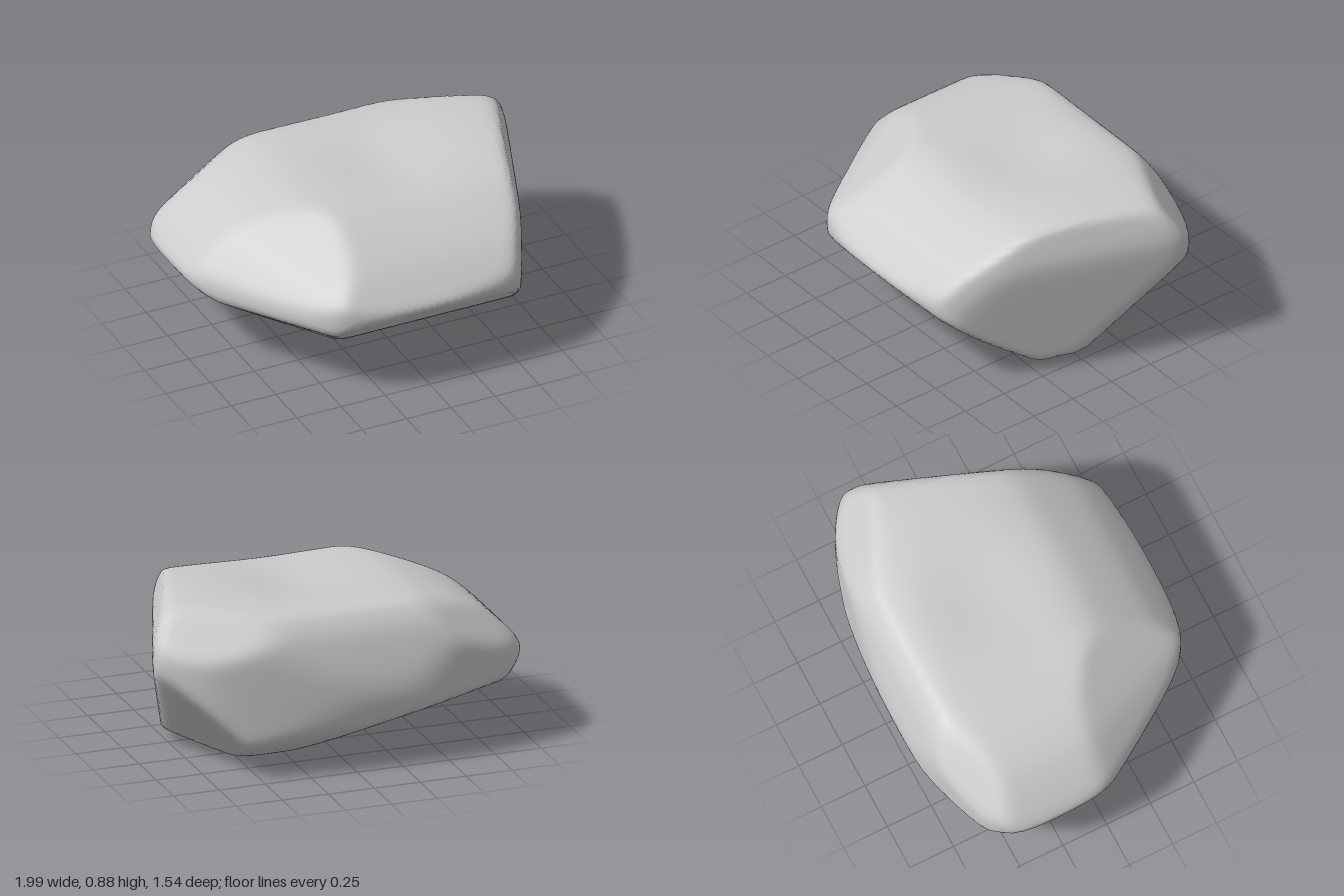
import * as THREE from 'three';
import { mergeVertices } from 'three/addons/utils/BufferGeometryUtils.js';

const CENTRE_Y = 0.45;
const SHARPNESS = 60;

// Outlines about the stone's centre; every edge becomes one face of the stone
const FRONT = [ // x, y
  [-1, 0], [-0.9, 0.13], [-0.75, 0.26], [-0.6, 0.33], [-0.4, 0.385], [-0.1, 0.41], [0.55, 0.43],
  [0.7, 0.432], [0.86, 0.41], [0.95, 0.35], [1, 0.2], [0.98, -0.05], [0.94, -0.22], [0.88, -0.32],
  [0.8, -0.38], [0.3, -0.438], [0, -0.455], [-0.2, -0.445], [-0.5, -0.3], [-0.75, -0.18],
];
const SIDE = [ // z, y
  [0.77, 0.01], [0.6, 0.19], [0.4, 0.32], [0.3, 0.37], [0.15, 0.405], [-0.05, 0.425], [-0.25, 0.43],
  [-0.45, 0.415], [-0.6, 0.38], [-0.68, 0.29], [-0.74, 0.12], [-0.775, -0.03], [-0.73, -0.22],
  [-0.655, -0.3], [-0.5, -0.385], [-0.2, -0.44], [0, -0.455], [0.2, -0.415], [0.5, -0.22], [0.7, -0.055],
];
const PLAN = [ // x, z
  [-1, -0.2], [-0.97, 0], [-0.8, 0.28], [-0.57, 0.6], [-0.45, 0.7], [-0.3, 0.745], [0, 0.77],
  [0.2, 0.762], [0.5, 0.712], [0.61, 0.61], [0.74, 0.38], [1, -0.38], [1, -0.46], [0.93, -0.54],
  [0.75, -0.64], [0.5, -0.7], [0, -0.77], [-0.3, -0.773], [-0.6, -0.71], [-0.85, -0.62],
  [-0.97, -0.5], [-1, -0.38],
];

// Oblique faces: outward normal x, y, z and distance from the centre
const BEVELS = [
  [0.93, -0.08, 0.35, 0.752],                             // flat at the +x end
  [0.88, 0.33, 0.34, 0.8], [0.765, 0.383, 0.525, 0.82],   // its upper bevels
  [0.76, 0.256, 0.6, 0.82],                               // its front bevel
  [0.3, 0.65, -0.7, 0.785], [0.71, -0.63, -0.31, 0.775],  // back corners at +x, upper and lower
  [-0.65, 0.61, 0.45, 0.66], [-0.45, 0.8, 0.4, 0.55],     // upper front corner at -x
  [-0.49, -0.8, 0.34, 0.53],                              // lower front corner at -x
  [-0.29, 0.91, -0.29, 0.625], [-0.45, 0.65, -0.61, 0.8], // upper back corner at -x
  [-0.2, -0.91, -0.37, 0.485],                            // lower back corner at -x
];

// Turn the edges of an outline into faces; place(a, b) lifts them into space
function edgeFaces(outline, place) {
  return outline.map(([a, b], i) => {
    const [c, d] = outline[(i + 1) % outline.length];
    const n = place(d - b, a - c).normalize();
    const h = n.dot(place(a, b));
    return { n: n.multiplyScalar(Math.sign(h)), h: Math.abs(h) };
  });
}

const FACES = [
  ...edgeFaces(FRONT, (x, y) => new THREE.Vector3(x, y, 0)),
  ...edgeFaces(SIDE, (z, y) => new THREE.Vector3(0, y, z)),
  ...edgeFaces(PLAN, (x, z) => new THREE.Vector3(x, 0, z)),
  ...BEVELS.map(([x, y, z, h]) => ({ n: new THREE.Vector3(x, y, z).normalize(), h })),
];

// Distance to the surface along a direction: a softened meeting of all faces
function reach(dir) {
  let sum = 0;
  for (const { n, h } of FACES) sum += Math.max(0, n.dot(dir) / h) ** SHARPNESS;
  return (0.25 * sum) ** (-1 / SHARPNESS); // 0.25 makes up for the rounding of the edges
}

export function createModel() {
  const ball = new THREE.IcosahedronGeometry(1, 34);
  ball.deleteAttribute('uv');
  ball.deleteAttribute('normal');
  const geometry = mergeVertices(ball, 1e-5);

  const pos = geometry.attributes.position;
  const p = new THREE.Vector3();
  for (let i = 0; i < pos.count; i++) {
    p.fromBufferAttribute(pos, i).normalize();
    p.multiplyScalar(reach(p));
    // shallow hollow in the top
    if (p.y > 0) {
      const d2 = ((p.x - 0.12) / 0.3) ** 2 + ((p.z + 0.1) / 0.35) ** 2;
      p.y -= 0.045 * Math.exp(-d2) * Math.min(1, p.y / 0.3);
    }
    pos.setXYZ(i, p.x, p.y + CENTRE_Y, p.z);
  }
  geometry.computeVertexNormals();

  const stone = new THREE.Mesh(geometry, new THREE.MeshStandardMaterial({ color: 0xcccccc }));
  stone.name = 'stone';
  const group = new THREE.Group();
  group.name = 'rock';
  group.add(stone);
  return group;
}
